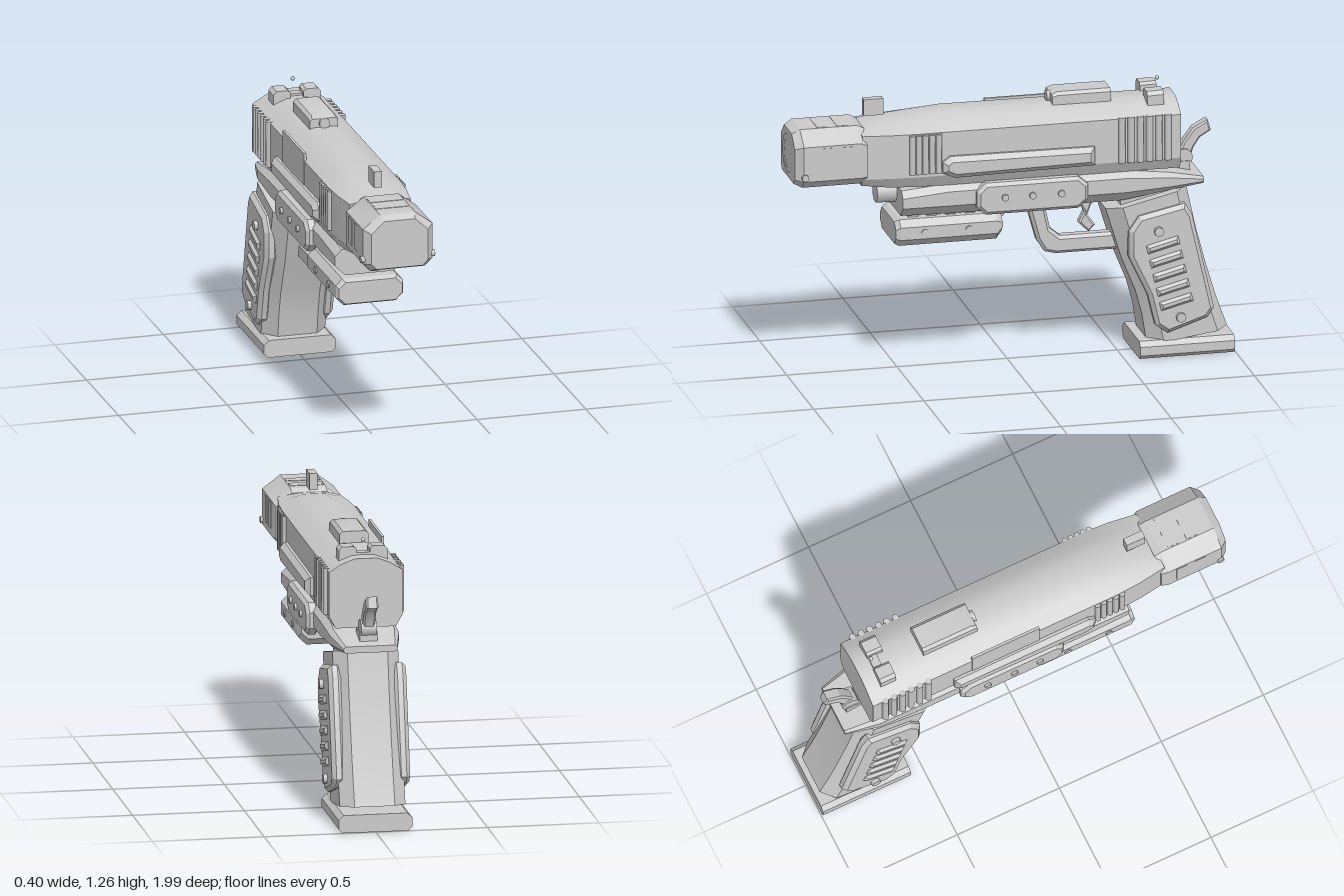
import * as THREE from 'three';
import { toCreasedNormals } from 'three/addons/utils/BufferGeometryUtils.js';

const grey = new THREE.MeshStandardMaterial({ color: 0xcccccc });

export function createModel() {
  const model = new THREE.Group();

  const add = (name, geometry, x = 0, y = 0, z = 0) => {
    const mesh = new THREE.Mesh(geometry, grey);
    mesh.name = name;
    mesh.position.set(x, y, z);
    model.add(mesh);
    return mesh;
  };

  // Skin through equal-length rings of [x, y, z], closed at both ends
  const loft = (rings, crease = 0.45) => {
    const n = rings[0].length;
    let tris = [];
    for (let r = 0; r < rings.length - 1; r++) {
      for (let i = 0; i < n; i++) {
        const j = (i + 1) % n;
        const a = rings[r][i], b = rings[r][j], c = rings[r + 1][j], d = rings[r + 1][i];
        tris.push([a, b, c], [a, c, d]);
      }
    }
    const first = rings[0], last = rings[rings.length - 1];
    for (let i = 1; i < n - 1; i++) {
      tris.push([first[0], first[i + 1], first[i]], [last[0], last[i], last[i + 1]]);
    }
    // Turn the faces outward if the enclosed volume is negative
    const v = (p) => new THREE.Vector3(...p);
    const volume = tris.reduce((s, [a, b, c]) => s + v(a).dot(v(b).cross(v(c))), 0);
    if (volume < 0) tris = tris.map(([a, b, c]) => [a, c, b]);
    const g = new THREE.BufferGeometry();
    g.setAttribute('position', new THREE.Float32BufferAttribute(tris.flat(2), 3));
    return toCreasedNormals(g, crease);
  };

  // Ring across z from right-half points, mirrored
  const ring = (z, half) => [
    ...half.map(([x, y]) => [x, y, z]),
    ...[...half].reverse().map(([x, y]) => [-x, y, z]),
  ];
  // Chamfered rectangle: half width, bottom, top, chamfers
  const oct = (z, w, y0, y1, ct, cb, ctx = ct, cbx = cb) =>
    ring(z, [[w - ctx, y1], [w, y1 - ct], [w, y0 + cb], [w - cbx, y0]]);

  // Plate drawn in (z, y), centred on x with a bevelled rim
  const plate = (pts, thick, bevel) => {
    const shape = new THREE.Shape(pts.map((p) => new THREE.Vector2(...p)));
    const g = new THREE.ExtrudeGeometry(shape, {
      depth: thick - 2 * bevel, bevelEnabled: bevel > 0, bevelSize: bevel,
      bevelThickness: bevel, bevelOffset: -bevel, bevelSegments: 1, curveSegments: 6,
    });
    g.translate(0, 0, bevel - thick / 2);
    g.rotateY(-Math.PI / 2);
    return toCreasedNormals(g, 0.4);
  };
  const screw = (name, x, y, z, r = 0.016) =>
    add(name, new THREE.CylinderGeometry(r, r, 0.05, 8).rotateZ(Math.PI / 2), x, y, z);

  // Slide with arched top, tapering toward the muzzle
  const slideRing = (z, w, top, bottom) => {
    const h = top - 1.125;
    return ring(z, [[0.3 * w, top], [0.65 * w, top - 0.38 * h], [w, 1.125], [w, 0.925], [0.82 * w, bottom]]);
  };
  add('slide', loft([
    slideRing(0.69, 0.14, 1.142, 0.89), slideRing(0.56, 0.158, 1.165, 0.876),
    slideRing(0.44, 0.165, 1.177, 0.872), slideRing(0.3, 0.165, 1.188, 0.87),
    slideRing(-0.75, 0.165, 1.182, 0.87),
  ]));

  // Muzzle block with bore
  add('muzzleBlock', loft([
    oct(0.67, 0.15, 0.91, 1.145, 0.06, 0.03, 0.07, 0.03),
    oct(0.7, 0.16, 0.905, 1.16, 0.06, 0.035, 0.08, 0.035),
    oct(0.96, 0.16, 0.905, 1.16, 0.06, 0.035, 0.08, 0.035),
    oct(0.995, 0.13, 0.92, 1.14, 0.055, 0.025, 0.06, 0.025),
  ]));
  add('boreRing', new THREE.RingGeometry(0.065, 0.09, 16), 0, 1.03, 0.998);
  add('boreFace', new THREE.CircleGeometry(0.065, 16), 0, 1.03, 0.997);
  for (const z of [0.765, 0.855]) {
    add('muzzleTopVent', new THREE.BoxGeometry(0.15, 0.01, 0.05), 0, 1.157, z);
    for (const s of [-1, 1]) add('muzzleSideVent', new THREE.BoxGeometry(0.01, 0.12, 0.05), s * 0.157, 1.03, z);
  }

  // Frame under the slide, with the rear tail
  add('frame', loft([
    oct(0.51, 0.155, 0.735, 0.855, 0.03, 0.045),
    oct(0.3, 0.16, 0.73, 0.875, 0.03, 0.05),
    oct(-0.5, 0.16, 0.73, 0.875, 0.03, 0.05),
    oct(-0.71, 0.155, 0.77, 0.85, 0.02, 0.02),
    oct(-0.865, 0.12, 0.782, 0.812, 0.01, 0.01),
  ], 0.3));
  add('guideRod', new THREE.CylinderGeometry(0.05, 0.05, 0.14, 8).rotateY(Math.PI / 8).rotateX(Math.PI / 2), 0, 0.82, 0.53);

  // Accessory under the frame, hung on a toothed rail
  add('underBarrelUnit', loft([
    oct(0.54, 0.145, 0.61, 0.71, 0.03, 0.03),
    oct(0.52, 0.155, 0.6, 0.722, 0.03, 0.035),
    oct(0.08, 0.155, 0.6, 0.722, 0.03, 0.035),
    oct(0.055, 0.145, 0.63, 0.71, 0.03, 0.03),
  ]));
  for (let i = 0; i < 5; i++) {
    add('railTooth', new THREE.BoxGeometry(0.2, 0.04, 0.045), 0, 0.727, 0.45 - i * 0.085);
  }
  add('unitLatch', new THREE.BoxGeometry(0.16, 0.05, 0.03), 0, 0.715, 0.05);

  // Paired side details
  const longRail = [[0.335, 0.99], [0.3, 1.015], [-0.355, 1.01], [-0.355, 0.925], [0.28, 0.915], [0.335, 0.94]];
  const sidePlate = [[0.18, 0.84], [0.14, 0.878], [-0.28, 0.878], [-0.325, 0.84],
    [-0.325, 0.77], [-0.28, 0.732], [0.14, 0.732], [0.18, 0.77]];
  const gripPanel = [[-0.515, 0.6], [-0.56, 0.665], [-0.77, 0.71], [-0.8, 0.66], [-0.9, 0.22],
    [-0.87, 0.175], [-0.69, 0.115], [-0.635, 0.155], [-0.6, 0.3], [-0.515, 0.48]];
  for (const s of [-1, 1]) {
    add('slideSideRail', plate(longRail, 0.08, 0.022), s * 0.16, 0, 0);
    add('frameSidePlate', plate(sidePlate, 0.06, 0.015), s * 0.16, 0, 0);
    for (const z of [0.055, -0.07, -0.2]) screw('frameScrew', s * 0.176, 0.81, z);
    for (const z of [0.41, 0.21]) screw('unitScrew', s * 0.136, 0.665, z);
    screw('muzzleScrew', s * 0.145, 0.96, 0.955);
    // Gripping ribs, front and rear
    for (let i = 0; i < 5; i++) {
      add('frontSerration', new THREE.CylinderGeometry(0.014, 0.014, 0.18, 6), s * 0.167, 1.03, 0.47 - i * 0.03);
    }
    for (let i = 0; i < 6; i++) {
      add('rearSerration', new THREE.CylinderGeometry(0.016, 0.016, 0.21, 6), s * 0.167, 1.027, -0.48 - i * 0.042);
    }
    add('gripPanel', plate(gripPanel, 0.06, 0.018), s * 0.145, 0, 0);
    for (let i = 0; i < 5; i++) {
      const rib = add('gripRib', plate([[-0.075, -0.02], [0.075, -0.02], [0.075, 0.02], [-0.075, 0.02]], 0.04, 0.012),
        s * 0.168, 0.53 - i * 0.067, -0.665 - i * 0.015);
      rib.rotation.x = 0.25;
    }
    screw('gripScrew', s * 0.167, 0.595, -0.645, 0.022);
    screw('gripScrew', s * 0.167, 0.19, -0.745, 0.022);
  }
  add('ejectionPortPlate', new THREE.BoxGeometry(0.012, 0.17, 0.33), -0.162, 1.075, -0.1);

  // Grip: octagonal sections between front and rear edge points in (z, y)
  const gripSection = ([fz, fy, rz, ry]) => {
    const at = (x, t) => [x, fy + (ry - fy) * t, fz + (rz - fz) * t];
    return [at(0.09, 0), at(0.147, 0.18), at(0.147, 0.85), at(0.09, 1),
      at(-0.09, 1), at(-0.147, 0.85), at(-0.147, 0.18), at(-0.09, 0)];
  };
  add('grip', loft([
    [-0.425, 0.69, -0.79, 0.775], [-0.495, 0.46, -0.835, 0.57], [-0.56, 0.3, -0.88, 0.4],
    [-0.59, 0.19, -0.925, 0.25], [-0.61, 0.06, -0.975, 0.11],
  ].map(gripSection), 0.35));
  add('gripNeck', new THREE.BoxGeometry(0.2, 0.1, 0.26), 0, 0.73, -0.62);
  add('basePlate', loft([
    oct(-0.565, 0.165, 0, 0.08, 0.022, 0.018), oct(-0.995, 0.165, 0, 0.08, 0.022, 0.018),
  ]));

  // Trigger and its guard
  add('triggerGuard', plate([[-0.085, 0.75], [-0.085, 0.71], [-0.13, 0.545], [-0.165, 0.49], [-0.215, 0.477],
    [-0.5, 0.477], [-0.5, 0.557], [-0.235, 0.557], [-0.19, 0.595], [-0.165, 0.71], [-0.165, 0.75]], 0.064, 0.014));
  add('trigger', plate([[-0.32, 0.75], [-0.32, 0.71], [-0.345, 0.66], [-0.32, 0.61], [-0.365, 0.565],
    [-0.395, 0.595], [-0.36, 0.645], [-0.385, 0.71], [-0.385, 0.75]], 0.045, 0.008));

  // Hammer with round pivot
  add('hammerPivot', new THREE.CylinderGeometry(0.04, 0.04, 0.07, 12).rotateZ(Math.PI / 2), 0, 0.88, -0.795);
  add('hammer', plate([[-0.77, 0.9], [-0.795, 0.95], [-0.84, 1.01], [-0.905, 1.045], [-0.92, 0.995],
    [-0.87, 0.965], [-0.84, 0.92], [-0.825, 0.87]], 0.055, 0.008));
  add('hammerMount', new THREE.BoxGeometry(0.08, 0.06, 0.1), 0, 0.835, -0.77);

  // Sights and top plate
  add('frontSight', new THREE.BoxGeometry(0.036, 0.075, 0.09), 0, 1.217, 0.61);
  for (const s of [-1, 1]) {
    add('rearSight', loft([
      [-0.61, 0.002], [-0.685, 0],
    ].map(([z, d]) => [[0.03, 1.15], [0.03, 1.21 - d], [0.042, 1.222 - d], [0.095, 1.222 - d], [0.11, 1.205 - d], [0.11, 1.15]]
      .map(([x, y]) => [s * x, y, z]))));
  }
  add('sightBridge', new THREE.BoxGeometry(0.08, 0.03, 0.04), 0, 1.178, -0.66);
  add('sightDot', new THREE.SphereGeometry(0.01, 8, 6), 0, 1.25, -0.68);
  add('topPlate', loft([
    oct(-0.19, 0.065, 1.17, 1.225, 0.01, 0.005), oct(-0.215, 0.065, 1.17, 1.236, 0.014, 0.005),
    oct(-0.455, 0.065, 1.17, 1.236, 0.014, 0.005),
  ]));
  add('topPlateKnob', new THREE.CylinderGeometry(0.025, 0.025, 0.03, 10).rotateX(Math.PI / 2), 0, 1.205, -0.19);

  return model;
}
